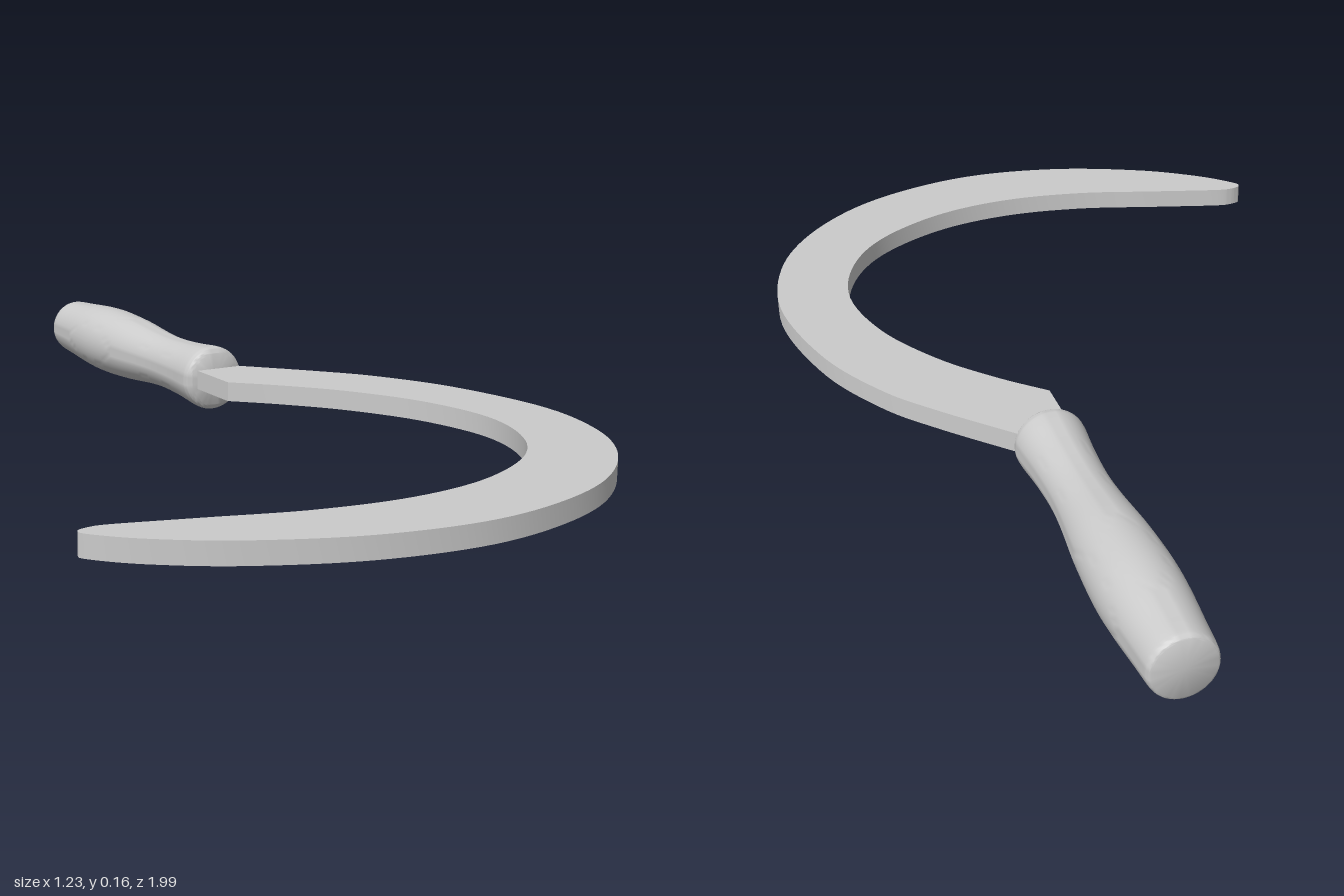
import * as THREE from 'three';
import { toCreasedNormals } from 'three/addons/utils/BufferGeometryUtils.js';

const vectors = (pairs) => pairs.map(([a, b]) => new THREE.Vector2(a, b));

export function createModel() {
  const group = new THREE.Group();
  const grey = new THREE.MeshStandardMaterial({ color: 0xcccccc });

  // Curved blade: outline in x and z, tang hidden in the handle
  const outline = new THREE.Shape();
  outline.moveTo(0.153, -0.29);
  outline.lineTo(0.245, -0.29);
  outline.lineTo(0.265, -0.25);
  outline.splineThru(vectors([
    [0.39, -0.115], [0.48, 0.0], [0.565, 0.175], [0.612, 0.415], [0.578, 0.615],
    [0.49, 0.77], [0.35, 0.895], [0.185, 0.967], [0, 0.995], [-0.21, 0.965],
    [-0.405, 0.888], [-0.535, 0.805], [-0.608, 0.735], [-0.613, 0.71], [-0.59, 0.702],
  ]));
  outline.splineThru(vectors([
    [-0.55, 0.706], [-0.395, 0.75], [-0.21, 0.802], [-0.02, 0.821], [0.16, 0.79],
    [0.32, 0.702], [0.415, 0.58], [0.455, 0.425], [0.422, 0.25], [0.34, 0.095],
    [0.245, -0.022], [0.153, -0.113],
  ]));
  outline.closePath();
  const bladeGeometry = new THREE.ExtrudeGeometry(outline, {
    depth: 0.043, bevelEnabled: false, curveSegments: 6,
  });
  bladeGeometry.rotateX(Math.PI / 2).translate(0, 0.106, 0);
  const blade = new THREE.Mesh(toCreasedNormals(bladeGeometry, 0.6), grey);
  blade.name = 'blade';
  group.add(blade);

  // Turned handle: radius against z, with softened rims and flat ends
  const side = new THREE.SplineCurve(vectors([
    [0.059, -1], [0.066, -0.99], [0.071, -0.93], [0.079, -0.83], [0.081, -0.75],
    [0.076, -0.64], [0.066, -0.53], [0.0625, -0.45], [0.066, -0.36],
    [0.073, -0.28], [0.071, -0.258], [0.06, -0.25],
  ])).getPoints(66);
  const profile = [new THREE.Vector2(0, -1), ...side, new THREE.Vector2(0, -0.25)];
  const handleGeometry = new THREE.LatheGeometry(profile, 48);
  handleGeometry.rotateX(Math.PI / 2);
  const handle = new THREE.Mesh(toCreasedNormals(handleGeometry, 0.6), grey);
  handle.name = 'handle';
  handle.position.set(0.2, 0.082, 0);
  group.add(handle);

  return group;
}
